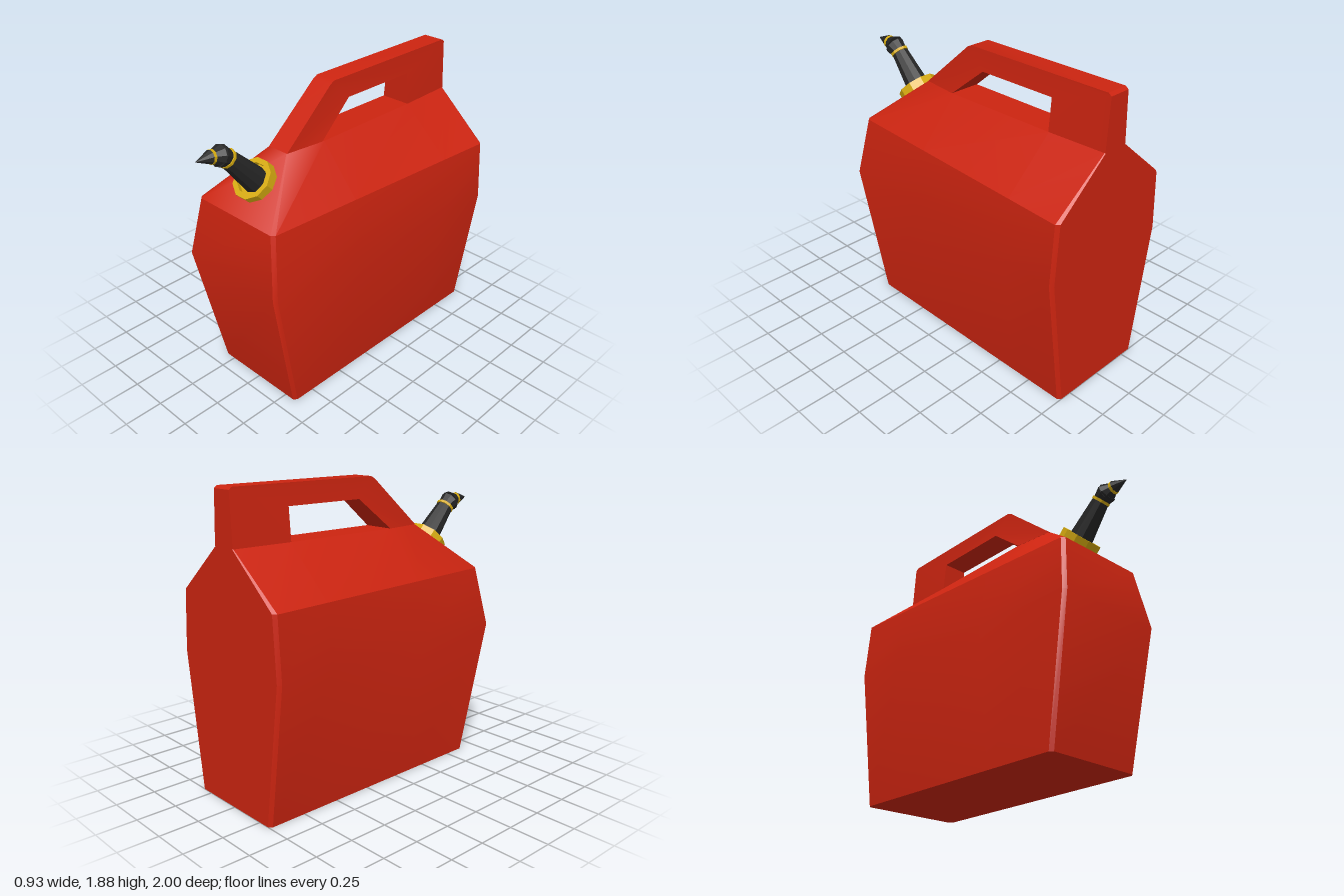
import * as THREE from 'three';
import { toCreasedNormals } from 'three/addons/utils/BufferGeometryUtils.js';

const red = new THREE.MeshStandardMaterial({ color: 0xcc2410 });
const yellow = new THREE.MeshStandardMaterial({ color: 0xd6ab10, flatShading: true });
const black = new THREE.MeshStandardMaterial({ color: 0x262626, flatShading: true });

const BACK = -1;
const MID_FRONT = 0.15, MID_BACK = -0.62;

// One bevelled outline of the can, counter-clockwise seen from above
function ring({ y, front, wf, wb, bevel, mids }) {
  const zf = front - bevel, zb = BACK + bevel;
  const widthAt = z => THREE.MathUtils.mapLinear(z, zf, zb, wf, wb);
  const [m1, m2] = mids ?? [widthAt(MID_FRONT), widthAt(MID_BACK)];
  const half = [
    [wf - bevel, front], [wf, zf], [m1, MID_FRONT],
    [m2, MID_BACK], [wb, zb], [wb - bevel, BACK],
  ];
  const mirrored = half.map(([x, z]) => [-x, z]).reverse();
  return [...half, ...mirrored].map(([x, z]) => [x, y, z]);
}

// Skin between rings, closed by a flat cap at both ends
function loft(rings) {
  const pos = [];
  const tri = (...corners) => corners.forEach(c => pos.push(...c));
  const n = rings[0].length;
  for (let i = 0; i < n; i++) {
    const j = (i + 1) % n;
    for (let k = 0; k < rings.length - 1; k++) {
      const lo = rings[k], hi = rings[k + 1];
      tri(lo[i], lo[j], hi[j]);
      tri(lo[i], hi[j], hi[i]);
    }
    const bottom = rings[0], top = rings[rings.length - 1];
    tri([0, bottom[0][1], 0], bottom[j], bottom[i]);
    tri([0, top[0][1], 0], top[i], top[j]);
  }
  const geo = new THREE.BufferGeometry();
  geo.setAttribute('position', new THREE.Float32BufferAttribute(pos, 3));
  return toCreasedNormals(geo, Math.PI / 6);
}

function makeBody() {
  const levels = [
    { y: 0, front: 0.65, wf: 0.335, wb: 0.345, bevel: 0.02 },
    { y: 0.87, front: 0.825, wf: 0.385, wb: 0.465, bevel: 0.02 },
    { y: 1.25, front: 0.765, wf: 0.32, wb: 0.44, bevel: 0.02 },
    { y: 1.545, front: 0.42, wf: 0.075, wb: 0.085, bevel: 0.005, mids: [0.105, 0.1] },
  ];
  return new THREE.Mesh(loft(levels.map(ring)), red);
}

// Arched grip: side profile (z, y), thickened by a width that narrows upward
function makeHandle() {
  const profile = [
    [0.42, 1.545], [0.06, 1.86], [0.03, 1.875], [-0.98, 1.875], [-1, 1.86],
    [-1, 1.545], [-0.615, 1.545], [-0.615, 1.745], [-0.08, 1.745], [0.165, 1.545],
  ];
  const shape = new THREE.Shape(profile.map(p => new THREE.Vector2(...p)));
  const geo = new THREE.ExtrudeGeometry(shape, { depth: 1, bevelEnabled: false });
  const halfWidth = (z, y) => {
    if (y > 1.8) return 0.07;
    if (y > 1.6) return 0.083;
    if (z > 0.4) return 0.075;
    return z > 0 ? 0.105 : z > -0.8 ? 0.1 : 0.085;
  };
  const p = geo.attributes.position;
  for (let i = 0; i < p.count; i++) {
    const z = p.getX(i), y = p.getY(i), side = 1 - 2 * p.getZ(i);
    p.setXYZ(i, side * halfWidth(z, y), y, z);
  }
  return new THREE.Mesh(toCreasedNormals(geo, Math.PI / 6), red);
}

// Turns a mesh whose axis is +y to point from a to b, given as [z, y]
function aim(mesh, a, b, t) {
  const from = new THREE.Vector3(0, a[1], a[0]);
  const to = new THREE.Vector3(0, b[1], b[0]);
  mesh.position.lerpVectors(from, to, t);
  mesh.quaternion.setFromUnitVectors(new THREE.Vector3(0, 1, 0), to.sub(from).normalize());
  return mesh;
}

function makeSpout() {
  const spout = new THREE.Group();
  const add = (name, mesh) => { mesh.name = name; spout.add(mesh); };

  // Screw collar with an open rim
  const rim = [[0.0, 0.03], [0.098, 0.03], [0.098, 0.06], [0.13, 0.06], [0.13, -0.04], [0.0, -0.04]]
    .reverse().map(p => new THREE.Vector2(...p));
  add('collar', aim(new THREE.Mesh(new THREE.LatheGeometry(rim, 10, Math.PI / 10), yellow),
    [0.585, 1.4], [0.685, 1.5], 0));

  // Tapered tube, elbow and pointed nozzle: [name, start, end, start radius, end radius, material]
  const parts = [
    ['tube', [0.6, 1.42], [0.785, 1.62], 0.08, 0.055, black],
    ['tubeBand', [0.785, 1.62], [0.797, 1.632], 0.06, 0.06, yellow],
    ['elbow', [0.792, 1.628], [0.838, 1.658], 0.052, 0.066, black],
    ['elbowNeck', [0.838, 1.658], [0.893, 1.67], 0.066, 0.036, black],
    ['nozzleBand', [0.885, 1.668], [0.902, 1.671], 0.042, 0.042, yellow],
    ['nozzle', [0.9, 1.671], [1, 1.676], 0.042, 0, black],
  ];
  for (const [name, a, b, r0, r1, material] of parts) {
    const length = Math.hypot(b[0] - a[0], b[1] - a[1]);
    add(name, aim(new THREE.Mesh(new THREE.CylinderGeometry(r1, r0, length, 10), material), a, b, 0.5));
  }
  return spout;
}

export function createModel() {
  const model = new THREE.Group();
  const parts = { body: makeBody(), handle: makeHandle(), spout: makeSpout() };
  for (const [name, part] of Object.entries(parts)) {
    part.name = name;
    model.add(part);
  }
  model.name = 'fuelCan';
  return model;
}
